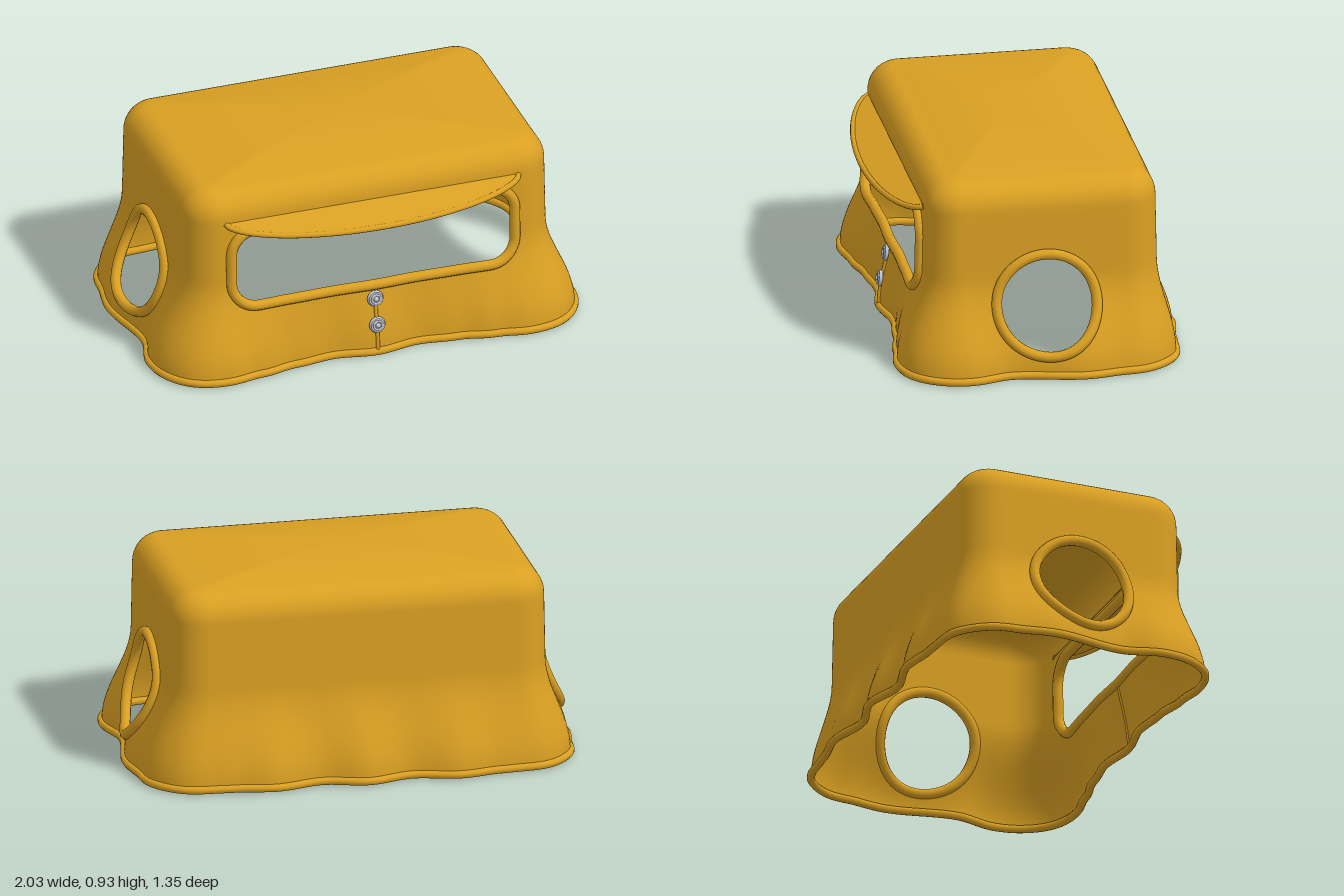
import * as THREE from 'three';
import { mergeVertices } from 'three/addons/utils/BufferGeometryUtils.js';

const HALF = 2.612;            // half of the wall's perimeter
const Y0 = 0.018, Y1 = 0.76;   // hem and shoulder heights
const ROWS = 24;

// Outward flare of the hem: [distance along the perimeter from front centre, offset]
const FLARE = [[0, .06], [.2, .03], [.38, .05], [.55, .082], [.7, .105], [.82, .12], [.95, .122],
  [1.14, .08], [1.47, .132], [1.68, .105], [1.8, .09], [1.91, .075], [2.0, .082],
  [2.19, .11], [2.41, .065], [HALF, .112]];

const smooth = (t) => t * t * (3 - 2 * t);
function flare(a) {
  let i = 0;
  while (i < FLARE.length - 2 && a > FLARE[i + 1][0]) i++;
  const [a0, d0] = FLARE[i], [a1, d1] = FLARE[i + 1];
  return d0 + (d1 - d0) * smooth(Math.min(1, (a - a0) / (a1 - a0)));
}

// Rounded-rectangle plan: point and outward normal at perimeter distance a
function plan(a) {
  if (a > HALF) a -= 2 * HALF;
  const s = a < 0 ? -1 : 1, R = 0.15;
  a = Math.abs(a);
  let x, z, nx, nz;
  const corner = (cz, ang) => {
    nx = Math.sin(ang); nz = Math.cos(ang);
    x = 0.7 + R * nx; z = cz + R * nz;
  };
  if (a < 0.7) { x = a; z = 0.5; nx = 0; nz = 1; }
  else if (a < 0.936) corner(0.35, (a - 0.7) / 0.236 * Math.PI / 2);
  else if (a < 1.676) { x = 0.85; z = 0.35 - (a - 0.936); nx = 1; nz = 0; }
  else if (a < 1.912) corner(-0.39, Math.PI / 2 * (1 + (a - 1.676) / 0.236));
  else { x = HALF - a; z = -0.54; nx = 0; nz = -1; }
  return { x: s * x, z, nx: s * nx, nz, a };
}

// Point on the wall, pushed out by an extra offset
function wall(a, y, out = 0) {
  const p = plan(a);
  const t = Math.min(1, Math.max(0, (y - 0.03) / 0.42));
  const d = flare(p.a) * (1 - smooth(t)) + 0.02 * (Y1 - y) + out;
  return new THREE.Vector3(p.x + p.nx * d, y, p.z + p.nz * d);
}

// Openings: centre along perimeter, centre height, half sizes and corner radius
const WINDOW = { a: 0, y: 0.52, w: 0.665, h: 0.188, r: 0.12 };
const ARM_LEFT = { a: 1.306, y: 0.33, w: 0.225, h: 0.225, r: 0.225 };
const ARM_RIGHT = { ...ARM_LEFT, a: 2 * HALF - 1.306 };

// Wall strips: start, end, columns, opening
const STRIPS = [[-0.75, 0.75, 60, WINDOW], [0.75, 0.936, 12], [0.936, 1.676, 32, ARM_LEFT],
  [1.676, 3.548, 96], [3.548, 4.288, 32, ARM_RIGHT], [4.288, 4.474, 12]];

// Maps a point on the unit square's border to an opening's outline
function outline(o, u, v) {
  const px = u * o.w, py = v * o.h;
  const qx = THREE.MathUtils.clamp(px, o.r - o.w, o.w - o.r);
  const qy = THREE.MathUtils.clamp(py, o.r - o.h, o.h - o.r);
  const len = Math.hypot(px - qx, py - qy);
  return [o.a + qx + (px - qx) / len * o.r, o.y + qy + (py - qy) / len * o.r];
}

// Border of the unit square, counter-clockwise
function border(nu, nv) {
  const pts = [];
  for (let i = 0; i < nu; i++) pts.push([-1 + 2 * i / nu, -1]);
  for (let i = 0; i < nv; i++) pts.push([1, -1 + 2 * i / nv]);
  for (let i = 0; i < nu; i++) pts.push([1 - 2 * i / nu, 1]);
  for (let i = 0; i <= nv; i++) pts.push([-1, 1 - 2 * i / nv]);
  return pts;
}

function shellGeometry() {
  const pos = [];
  const tri = (...ps) => ps.forEach((p) => pos.push(p.x, p.y, p.z));
  const grid = (nu, nv, f) => {
    for (let i = 0; i < nu; i++) for (let j = 0; j < nv; j++) {
      const a = f(i, j), b = f(i + 1, j), c = f(i + 1, j + 1), d = f(i, j + 1);
      tri(a, b, c);
      tri(a, c, d);
    }
  };
  const around = [];
  for (const [a0, a1, n, hole] of STRIPS) {
    for (let i = 0; i < n; i++) around.push(a0 + (a1 - a0) * i / n);
    if (hole) {
      // Rings running from the strip's edge to the opening
      const edge = border(n, ROWS);
      grid(edge.length - 1, 8, (i, j) => {
        const [u, v] = edge[i], [ha, hy] = outline(hole, u, v), t = j / 8;
        const ea = (a0 + a1) / 2 + u * (a1 - a0) / 2, ey = (Y0 + Y1) / 2 + v * (Y1 - Y0) / 2;
        return wall(ea + (ha - ea) * t, ey + (hy - ey) * t);
      });
    } else {
      grid(n, ROWS, (i, j) => wall(a0 + (a1 - a0) * i / n, Y0 + (Y1 - Y0) * j / ROWS));
    }
  }
  around.push(4.474);
  // Rounded shoulder, then the shallow domed top
  const shoulder = (a, k) => {
    const p = wall(a, Y1, -0.12 * (1 - Math.cos(k)));
    p.y = Y1 + 0.128 * Math.sin(k);
    return p;
  };
  grid(around.length - 1, 10, (i, j) => shoulder(around[i], j / 10 * Math.PI / 2));
  grid(around.length - 1, 12, (i, j) => {
    const t = j / 12, p = shoulder(around[i], Math.PI / 2);
    return new THREE.Vector3(p.x * (1 - t), p.y + 0.042 * (1 - (1 - t) ** 2), p.z + (-0.02 - p.z) * t);
  });
  const g = new THREE.BufferGeometry();
  g.setAttribute('position', new THREE.Float32BufferAttribute(pos, 3));
  const welded = mergeVertices(g, 1e-4);
  welded.computeVertexNormals();
  return welded;
}

export function createModel() {
  const model = new THREE.Group();
  model.name = 'fabricCover';
  const fabric = new THREE.MeshStandardMaterial({ color: 0xdaa022, side: THREE.DoubleSide });
  fabric.name = 'golden fabric';
  const metal = new THREE.MeshStandardMaterial({ color: 0xc4c8d0 });
  metal.name = 'silver metal';

  const add = (name, geometry, material = fabric, parent = model) => {
    const mesh = new THREE.Mesh(geometry, material);
    mesh.name = name;
    parent.add(mesh);
    return mesh;
  };
  const piping = (name, points, radius, closed, parent = model) => add(name, new THREE.TubeGeometry(
    new THREE.CatmullRomCurve3(points, closed), points.length * 2, radius, 10, closed), fabric, parent);

  add('coverShell', shellGeometry());

  // Piping around the hem and the openings
  const hem = [];
  for (let i = 0; i < 140; i++) hem.push(wall(-HALF + 2 * HALF * i / 140, Y0));
  piping('hemPiping', hem, 0.018, true);
  const trim = (name, o, n) => piping(name, border(n, 16).slice(0, -1).map(([u, v]) => {
    const [a, y] = outline(o, u, v);
    return wall(a, y, 0.008);
  }), 0.024, true);
  trim('windowPiping', WINDOW, 48);
  trim('leftArmholePiping', ARM_LEFT, 16);
  trim('rightArmholePiping', ARM_RIGHT, 16);

  // Curved visor sloping down over the window
  const visor = new THREE.Group();
  visor.name = 'visor';
  const rim = [];
  for (let i = 0; i <= 40; i++) {
    const x = -0.685 * Math.cos(i / 40 * Math.PI);
    rim.push(new THREE.Vector3(x, 0.165 * Math.max(0, 1 - (x / 0.685) ** 2) ** 0.6, 0));
  }
  const flap = new THREE.ExtrudeGeometry(new THREE.Shape(rim.map((p) => new THREE.Vector2(p.x, p.y))),
    { depth: 0.012, bevelEnabled: false });
  flap.translate(0, 0, -0.006);
  add('visorFlap', flap, fabric, visor);
  piping('visorPiping', rim, 0.013, false, visor);
  visor.position.set(0, 0.75, 0.5);
  visor.rotation.x = Math.PI / 2 + 0.33;
  model.add(visor);

  // Front closure seam with two snap buttons
  const seam = [];
  for (let i = 0; i <= 10; i++) seam.push(wall(0, 0.03 + 0.028 * i, 0.003));
  piping('frontSeam', seam, 0.009, false);
  for (const y of [0.15, 0.27]) {
    const button = new THREE.Group();
    button.name = 'snapButton';
    add('buttonDisc', new THREE.CylinderGeometry(0.032, 0.038, 0.014, 28), metal, button);
    const ring = add('buttonRing', new THREE.TorusGeometry(0.02, 0.005, 8, 24), metal, button);
    ring.rotation.x = Math.PI / 2;
    ring.position.y = 0.008;
    const stud = add('buttonStud', new THREE.SphereGeometry(0.012, 16, 10), metal, button);
    stud.position.y = 0.007;
    button.position.copy(wall(0, y, 0.014));
    button.rotation.x = Math.PI / 2 - 0.18;
    model.add(button);
  }
  return model;
}
